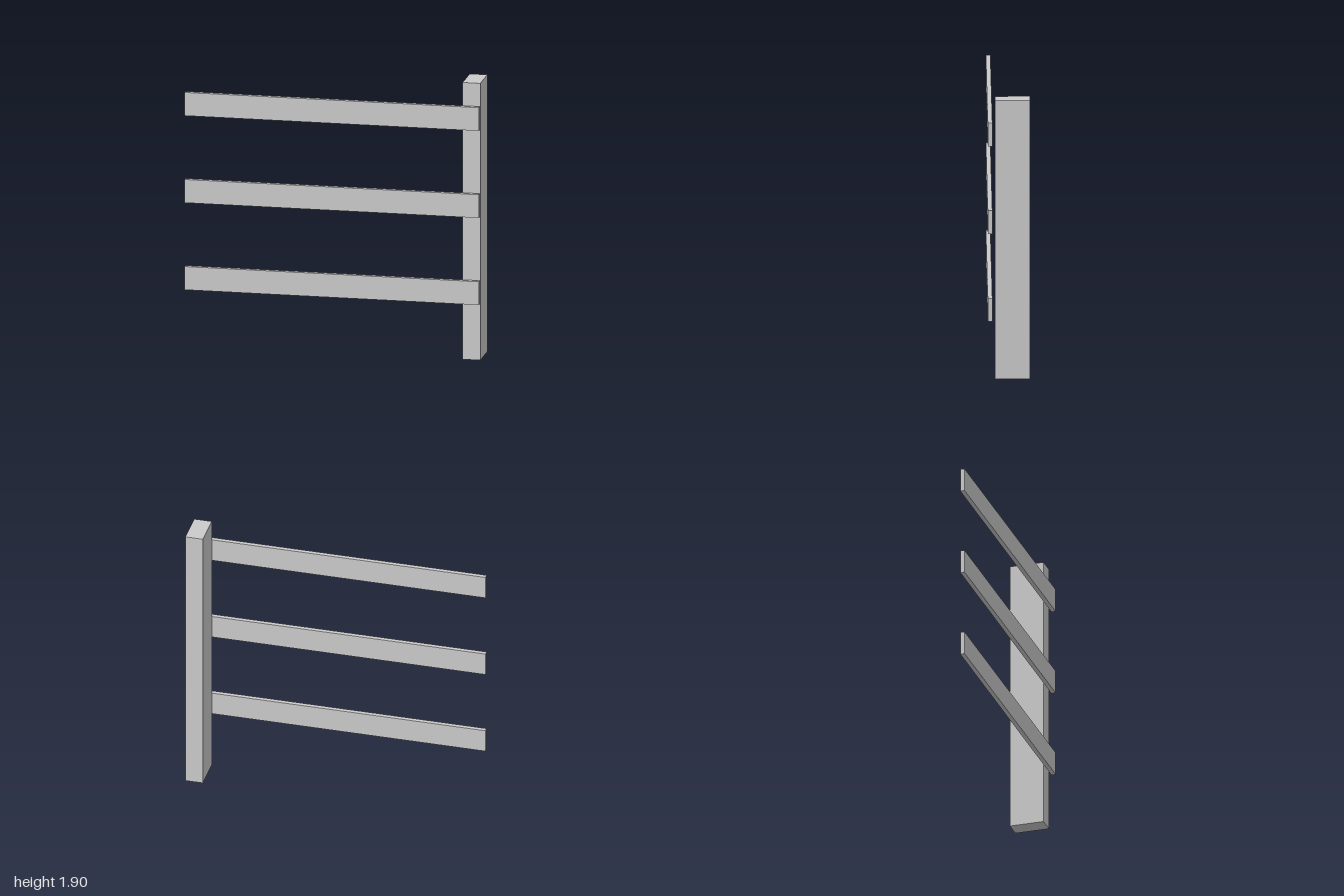
import * as THREE from 'three';

export function createModel() {
  const group = new THREE.Group();
  const material = new THREE.MeshStandardMaterial({ color: 0xcccccc, flatShading: true });

  // Adds a box given its size and centre
  const addBox = (name, size, centre) => {
    const mesh = new THREE.Mesh(new THREE.BoxGeometry(...size), material);
    mesh.name = name;
    mesh.position.set(...centre);
    group.add(mesh);
  };

  // Upright post at the left end
  addBox('post', [0.12, 1.905, 0.235], [0.94, 0.9525, -0.0235]);

  // Three evenly spaced rails, just clear of the post's front face
  ['lowerRail', 'middleRail', 'upperRail'].forEach((name, i) => {
    addBox(name, [2, 0.16, 0.03], [0, 0.472 + i * 0.599, 0.126]);
  });

  return group;
}
